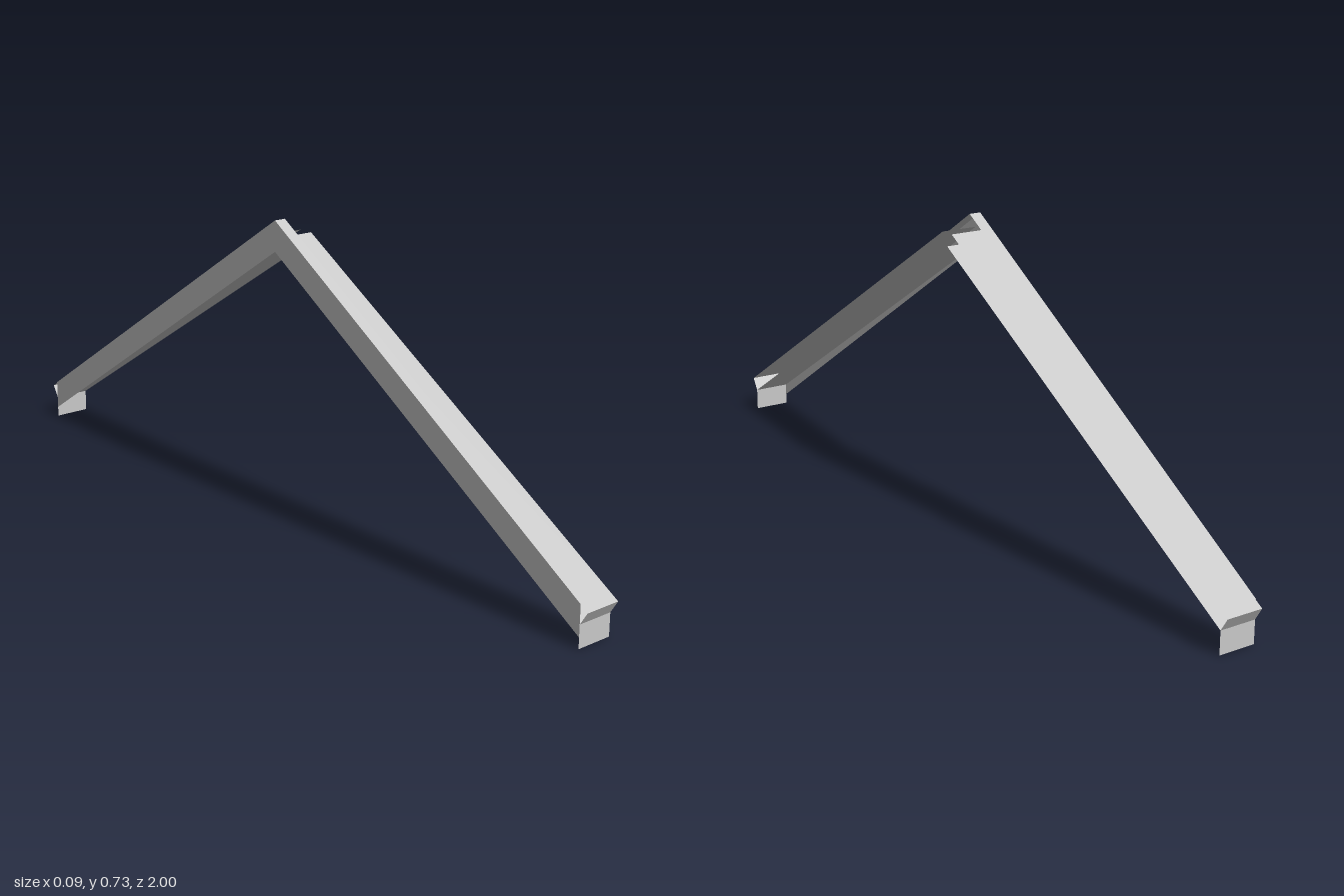
import * as THREE from 'three';

const metal = new THREE.MeshStandardMaterial({ color: 0xc8c8c8, side: THREE.DoubleSide });
metal.name = 'grey sheet metal';

const X0 = -0.047, X1 = 0.047, LIP = -0.017;

// Flat sheet from four corners, wound counter-clockwise from its outer side
function quad(a, b, c, d) {
  const g = new THREE.BufferGeometry();
  g.setAttribute('position', new THREE.Float32BufferAttribute([a, b, c, a, c, d].flat(), 3));
  g.computeVertexNormals();
  return g;
}

function add(group, name, geometry) {
  const mesh = new THREE.Mesh(geometry, metal);
  mesh.name = name;
  group.add(mesh);
}

// Sheet spanning x0..x1 between two [z, y] points of the side profile
function strip(group, name, x0, x1, [za, ya], [zb, yb], s) {
  const p = [[x0, ya, s * za], [x0, yb, s * zb], [x1, yb, s * zb], [x1, ya, s * za]];
  if (s < 0) p.reverse();
  add(group, name, quad(...p));
}

export function createModel() {
  const model = new THREE.Group();
  model.name = 'gableTrim';

  for (const s of [1, -1]) {
    const slope = new THREE.Group();
    slope.name = s > 0 ? 'frontSlope' : 'backSlope';

    // Upright web along the outer edge
    const web = [[X0, 0.73, 0], [X0, 0.655, 0], [X0, 0.026, s * 0.981], [X0, 0.1, s * 0.981]];
    if (s < 0) web.reverse();
    add(slope, 'sideWeb', quad(...web));

    // Narrow lip folded over the top of the web
    strip(slope, 'topLip', X0, LIP, [0, 0.73], [0.981, 0.1], s);

    // Open channel: upper sheet, folded end and lower sheet
    strip(slope, 'upperSheet', X0, X1, [0.019, 0.692], [1, 0.086], s);
    strip(slope, 'endFold', X0, X1, [1, 0.086], [0.981, 0.055], s);
    strip(slope, 'lowerSheet', X0, X1, [0.981, 0.055], [0, 0.66], s);

    // Drip flange hanging at the eave
    strip(slope, 'dripFlange', X0, X1, [0.981, 0.055], [0.981, 0], s);

    model.add(slope);
  }
  return model;
}
